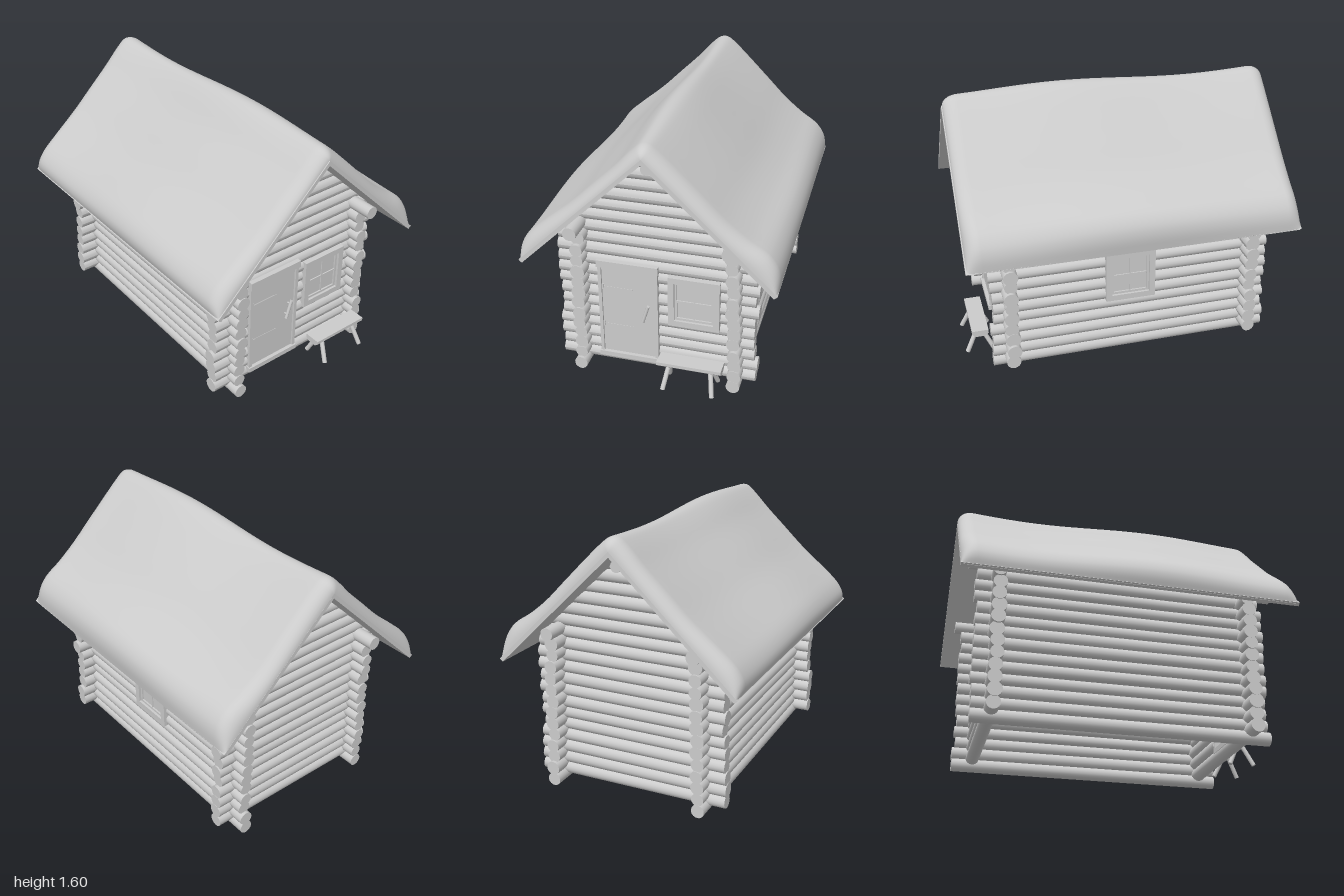
import * as THREE from 'three';

const material = new THREE.MeshStandardMaterial({ color: 0xcccccc, side: THREE.DoubleSide });

function add(parent, name, geometry, x = 0, y = 0, z = 0) {
  const mesh = new THREE.Mesh(geometry, material);
  mesh.name = name;
  mesh.position.set(x, y, z);
  parent.add(mesh);
  return mesh;
}

function group(parent, name) {
  const g = new THREE.Group();
  g.name = name;
  parent.add(g);
  return g;
}

const box = (parent, name, x0, x1, y0, y1, z0, z1) =>
  add(parent, name, new THREE.BoxGeometry(x1 - x0, y1 - y0, z1 - z0), (x0 + x1) / 2, (y0 + y1) / 2, (z0 + z1) / 2);

// Round pole between two points
function pole(parent, name, a, b, radius, sides = 12) {
  const from = new THREE.Vector3(...a), to = new THREE.Vector3(...b);
  const mesh = add(parent, name, new THREE.CylinderGeometry(radius, radius, from.distanceTo(to), sides));
  mesh.position.lerpVectors(from, to, 0.5);
  mesh.quaternion.setFromUnitVectors(new THREE.Vector3(0, 1, 0), to.sub(from).normalize());
  return mesh;
}

// Small seeded variation for the hand-cut logs
let seed = 7;
const vary = (amount) => {
  seed = (seed * 1103515245 + 12345) % 2147483648;
  return (seed / 1073741824 - 1) * amount;
};

// Splits a log's span around the openings at its height
function spans(from, to, y, openings) {
  const cut = openings.filter((o) => y > o.y0 && y < o.y1).sort((p, q) => p.a - q.a);
  const result = [];
  let start = from;
  for (const o of cut) {
    result.push([start, o.a]);
    start = o.b;
  }
  result.push([start, to]);
  return result;
}

const ROOF_SLOPE = 0.96;

// End walls: logs along x, trimmed to the roof slope in the gable
function endWall(parent, name, z, openings) {
  const wall = group(parent, name);
  for (let i = 0; i < 19; i++) {
    const y = 0.08 + 0.073 * i, r = 0.042 + vary(0.003);
    for (const [a, b] of spans(-0.585 + vary(0.012), 0.595 + vary(0.014), y, openings)) {
      const geo = new THREE.CylinderGeometry(r, r, b - a, 18).rotateZ(Math.PI / 2);
      geo.translate((a + b) / 2, y, z + vary(0.004));
      const p = geo.attributes.position;
      for (let k = 0; k < p.count; k++) {
        const limit = Math.max(0, (1.49 - p.getY(k)) / ROOF_SLOPE);
        p.setX(k, THREE.MathUtils.clamp(p.getX(k), -limit, limit));
      }
      geo.computeVertexNormals();
      add(wall, 'endLog', geo);
    }
  }
}

// Long walls: logs along z, the topmost reaching out under the eaves
function longWall(parent, name, side, openings) {
  const wall = group(parent, name);
  for (let i = 0; i < 14; i++) {
    const y = 0.042 + 0.0718 * i, top = i === 13;
    const x = side * (side > 0 ? 0.482 - 0.002 * i : 0.457 - 0.0008 * i) + vary(0.005);
    const r = 0.04 + vary(0.003);
    const front = top ? 0.92 : 0.84 + vary(0.012), back = top ? -0.93 : -0.88 + vary(0.012);
    for (const [a, b] of spans(back, front, y, openings)) pole(wall, 'sideLog', [x, y, a], [x, y, b], r, 18);
  }
}

// Window built facing +z around its own centre
function makeWindow(parent, name) {
  const win = group(parent, name);
  const ring = (w, h, border, depth, z) => {
    const rect = (P, a, b) => new P([[-a, -b], [a, -b], [a, b], [-a, b]].map((q) => new THREE.Vector2(...q)));
    const shape = rect(THREE.Shape, w / 2, h / 2);
    shape.holes.push(rect(THREE.Path, w / 2 - border, h / 2 - border));
    return new THREE.ExtrudeGeometry(shape, { depth, bevelEnabled: false }).translate(0, 0, z);
  };
  add(win, 'windowFrame', ring(0.305, 0.325, 0.036, 0.065, -0.04));
  add(win, 'windowSash', ring(0.235, 0.255, 0.015, 0.04, -0.03));
  box(win, 'glass', -0.11, 0.11, -0.12, 0.12, -0.008, 0);
  box(win, 'verticalBar', -0.004, 0.004, -0.12, 0.12, 0, 0.007);
  box(win, 'horizontalBar', -0.11, 0.11, -0.004, 0.004, 0, 0.007);
  return win;
}

function makeDoor(parent) {
  const door = group(parent, 'door');
  box(door, 'doorPanel', -0.33, 0, 0.11, 0.72, 0.735, 0.778);
  box(door, 'lintel', -0.35, 0.02, 0.71, 0.755, 0.69, 0.8);
  box(door, 'sill', -0.35, 0.02, 0.09, 0.12, 0.69, 0.8);
  box(door, 'leftJamb', -0.345, -0.325, 0.12, 0.71, 0.69, 0.79);
  box(door, 'rightJamb', -0.005, 0.015, 0.12, 0.71, 0.69, 0.79);
  for (const y of [0.31, 0.57]) {
    box(door, 'hingeStrap', -0.32, -0.14, y - 0.005, y + 0.005, 0.775, 0.78);
    box(door, 'hingePlate', -0.324, -0.314, y - 0.018, y + 0.018, 0.775, 0.782);
  }
  pole(door, 'doorHandle', [-0.075, 0.375, 0.8], [-0.04, 0.49, 0.8], 0.01);
  for (const [x, y] of [[-0.068, 0.398], [-0.047, 0.467]]) pole(door, 'handlePin', [x, y, 0.77], [x, y, 0.8], 0.006, 8);
}

function makeBench(parent) {
  const bench = group(parent, 'bench');
  // Split-log seat, narrower underneath
  const shape = new THREE.Shape([[-0.05, 0.225], [-0.05, 0.205], [-0.028, 0.185], [0.028, 0.185], [0.05, 0.205], [0.05, 0.225]]
    .map((q) => new THREE.Vector2(...q)));
  const seat = new THREE.ExtrudeGeometry(shape, { depth: 0.38, bevelEnabled: false });
  add(bench, 'seat', seat.rotateY(Math.PI / 2), 0.05, 0, 0.905);
  for (const s of [-1, 1])
    for (const f of [-1, 1])
      pole(bench, 'benchLeg', [0.24 + s * 0.122, 0.2, 0.905 + f * 0.012], [0.24 + s * 0.146, 0.06, 0.905 + f * 0.08], 0.014);
}

// Thin chevron of roof boards
function makeRoofBoards(parent) {
  const half = [[0, 1.515], [0.735, 0.81], [0.715, 0.795], [0, 1.485]];
  const outline = [...half, [-0.715, 0.795], [-0.735, 0.81]].map((q) => new THREE.Vector2(...q));
  add(parent, 'roofBoards', new THREE.ExtrudeGeometry(new THREE.Shape(outline), { depth: 1.985, bevelEnabled: false }), 0, 0, -0.995);
}

// Snow blanket: a profile thinning to the boards at both gable ends
function makeSnow(parent) {
  const profile = [
    [-0.728, 0.803], [-0.747, 0.86], [-0.745, 0.91], [-0.71, 0.975], [-0.62, 1.055], [-0.45, 1.19], [-0.32, 1.315],
    [-0.19, 1.44], [-0.1, 1.54], [-0.04, 1.59], [0, 1.6], [0.04, 1.59], [0.1, 1.545], [0.2, 1.45], [0.33, 1.32],
    [0.46, 1.19], [0.58, 1.1], [0.69, 1.035], [0.735, 0.97], [0.747, 0.9], [0.735, 0.805],
  ].map(([x, y]) => new THREE.Vector3(x, y, 0));
  const cols = 80;
  const outer = new THREE.CatmullRomCurve3(profile, false, 'centripetal').getPoints(cols);
  // Nearest point on the roof boards
  const inner = outer.map((p) => {
    const s = p.x < 0 ? -1 : 1;
    const line = new THREE.Line3(new THREE.Vector3(0, 1.512, 0), new THREE.Vector3(s * 0.73, 0.805, 0));
    return line.closestPointToPoint(p, true, new THREE.Vector3());
  });
  const rows = [];
  for (let i = 0; i <= 8; i++) {
    const a = (i / 8) * Math.PI / 2;
    rows.push([-0.995 + 0.09 * (1 - Math.cos(a)), Math.sin(a)]);
  }
  for (let i = 1; i < 30; i++) rows.push([-0.905 + (1.8 * i) / 30, 1]);
  for (let i = 8; i >= 0; i--) {
    const a = (i / 8) * Math.PI / 2;
    rows.push([0.985 - 0.09 * (1 - Math.cos(a)), Math.sin(a)]);
  }
  const positions = [], index = [];
  rows.forEach(([z, f], r) => {
    const wave = 0.17 * (1 - Math.cos((z - 0.3) * 3.9));
    outer.forEach((p, c) => {
      const side = p.x < 0 ? Math.sin(z * 4 + 1) : Math.cos(z * 3);
      const edge = Math.abs(p.x) / 0.75;
      const t = f * (1 - wave * (1 - edge) - 0.12 * edge * (1 - side));
      const q = inner[c].clone().lerp(p, t);
      positions.push(q.x, q.y, z);
      if (r < rows.length - 1 && c < cols) {
        const a = r * (cols + 1) + c, b = a + cols + 1;
        index.push(a, b, a + 1, a + 1, b, b + 1);
      }
    });
  });
  const geo = new THREE.BufferGeometry();
  geo.setAttribute('position', new THREE.Float32BufferAttribute(positions, 3));
  geo.setIndex(index);
  geo.computeVertexNormals();
  add(parent, 'roofSnow', geo);
}

export function createModel() {
  seed = 7;
  const cabin = new THREE.Group();
  cabin.name = 'logCabin';

  // Log walls with door and window openings
  endWall(cabin, 'frontWall', 0.73, [
    { a: -0.34, b: 0.01, y0: 0.1, y1: 0.73 },
    { a: 0.1, b: 0.355, y0: 0.39, y1: 0.68 },
  ]);
  endWall(cabin, 'backWall', -0.76, []);
  longWall(cabin, 'leftWall', 1, [{ a: -0.13, b: 0.115, y0: 0.39, y1: 0.66 }]);
  longWall(cabin, 'rightWall', -1, []);

  makeDoor(cabin);
  makeWindow(cabin, 'frontWindow').position.set(0.228, 0.537, 0.765);
  const sideWindow = makeWindow(cabin, 'sideWindow');
  sideWindow.position.set(0.505, 0.527, -0.007);
  sideWindow.rotation.y = Math.PI / 2;
  makeBench(cabin);

  // Roof
  pole(cabin, 'ridgePole', [0, 1.417, -0.92], [0, 1.417, 0.9], 0.033, 18);
  makeRoofBoards(cabin);
  makeSnow(cabin);
  return cabin;
}
